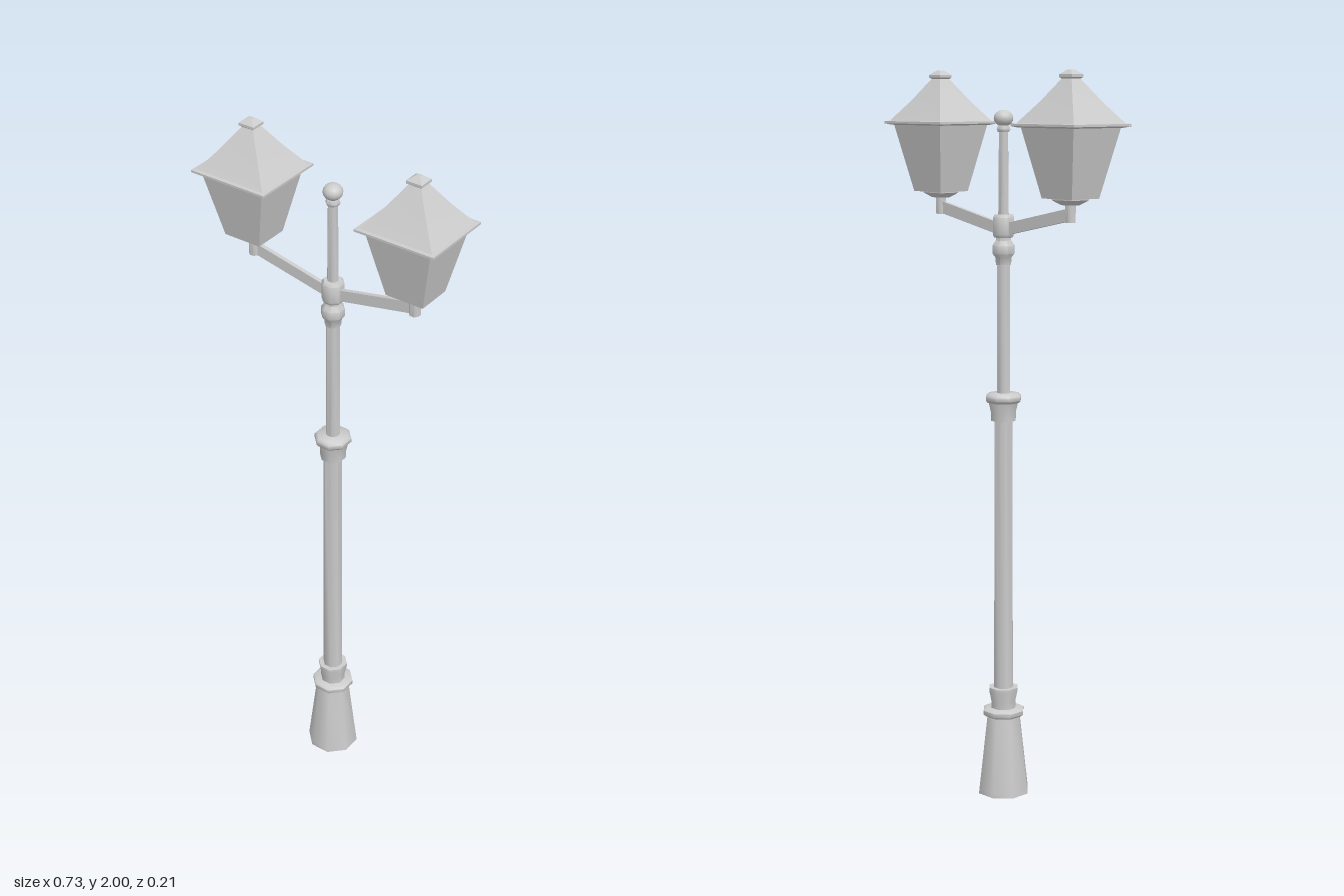
import * as THREE from 'three';
import { toCreasedNormals } from 'three/addons/utils/BufferGeometryUtils.js';

const material = new THREE.MeshStandardMaterial({ color: 0xcccccc });

// Turned prism from [half width across flats, height] points, bottom to top.
function prism(name, sides, points, depth = 1, crease = 0.9) {
  const k = 1 / Math.cos(Math.PI / sides);
  const profile = points.map(([r, y]) => new THREE.Vector2(r * k, y));
  const geometry = new THREE.LatheGeometry(profile, sides, Math.PI / sides);
  geometry.scale(1, 1, depth);
  const mesh = new THREE.Mesh(toCreasedNormals(geometry, crease), material);
  mesh.name = name;
  return mesh;
}

const round = (name, points) => prism(name, 8, points);
const square = (name, points) => prism(name, 4, points, 0.91, 0.1);

function createLantern(side) {
  const lantern = new THREE.Group();
  lantern.name = side > 0 ? 'leftLantern' : 'rightLantern';
  lantern.add(
    round('stem', [[0, 1.61], [0.014, 1.61], [0.014, 1.665], [0, 1.665]]),
    square('holder', [[0, 1.655], [0.018, 1.655], [0.036, 1.668], [0.036, 1.675], [0, 1.675]]),
    square('glassBody', [[0, 1.672], [0.055, 1.672], [0.096, 1.857], [0, 1.857]]),
    square('roof', [[0, 1.853], [0.1, 1.853], [0.115, 1.857], [0.115, 1.863], [0.104, 1.864],
      [0.06, 1.918], [0.018, 1.977], [0, 1.977]]),
    square('roofCap', [[0, 1.975], [0.015, 1.975], [0.023, 1.981], [0.023, 1.988], [0.007, 2], [0, 2]])
  );
  lantern.position.x = side * 0.252;
  return lantern;
}

// Flat bar rising from the collar to the lantern stem.
function createArm(side) {
  const shape = new THREE.Shape();
  shape.moveTo(0.015, 1.565);
  shape.lineTo(0.252, 1.614);
  shape.lineTo(0.252, 1.647);
  shape.lineTo(0.015, 1.597);
  shape.closePath();
  const geometry = new THREE.ExtrudeGeometry(shape, { depth: 0.012, bevelEnabled: false });
  geometry.translate(0, 0, -0.006);
  const arm = new THREE.Mesh(geometry, material);
  arm.name = side > 0 ? 'leftArm' : 'rightArm';
  if (side < 0) arm.rotation.y = Math.PI;
  return arm;
}

export function createModel() {
  const model = new THREE.Group();
  model.name = 'streetLamp';

  // Post, from the ground up
  model.add(
    round('base', [[0, 0], [0.068, 0], [0.067, 0.012], [0.044, 0.226], [0, 0.226]]),
    round('baseFlange', [[0, 0.223], [0.048, 0.223], [0.055, 0.229], [0.055, 0.24], [0.046, 0.246], [0, 0.246]]),
    round('baseCollar', [[0.033, 0.244], [0.033, 0.265], [0.039, 0.295], [0.039, 0.305], [0, 0.305]]),
    round('lowerShaft', [[0.026, 0.3], [0.024, 1.065]]),
    round('middleCollar', [[0, 1.06], [0.033, 1.06], [0.034, 1.085], [0.04, 1.112], [0, 1.112]]),
    round('middleFlange', [[0, 1.11], [0.042, 1.11], [0.047, 1.116], [0.047, 1.127], [0.04, 1.135], [0, 1.138]]),
    round('upperShaft', [[0.018, 1.13], [0.017, 1.49]]),
    round('neckRing', [[0, 1.485], [0.02, 1.485], [0.022, 1.505], [0.029, 1.515], [0.029, 1.537],
      [0.02, 1.55], [0.02, 1.562], [0, 1.562]]),
    round('armCollar', [[0, 1.558], [0.024, 1.558], [0.028, 1.565], [0.028, 1.612], [0.023, 1.62], [0, 1.62]]),
    round('topRod', [[0.014, 1.615], [0.012, 1.85]]),
    round('finialRing', [[0, 1.838], [0.015, 1.838], [0.018, 1.845], [0.015, 1.854], [0, 1.856]])
  );
  const finial = new THREE.Mesh(new THREE.SphereGeometry(0.026, 16, 10), material);
  finial.name = 'finialBall';
  finial.scale.y = 0.85;
  finial.position.y = 1.874;
  model.add(finial);

  for (const side of [1, -1]) model.add(createArm(side), createLantern(side));
  return model;
}
